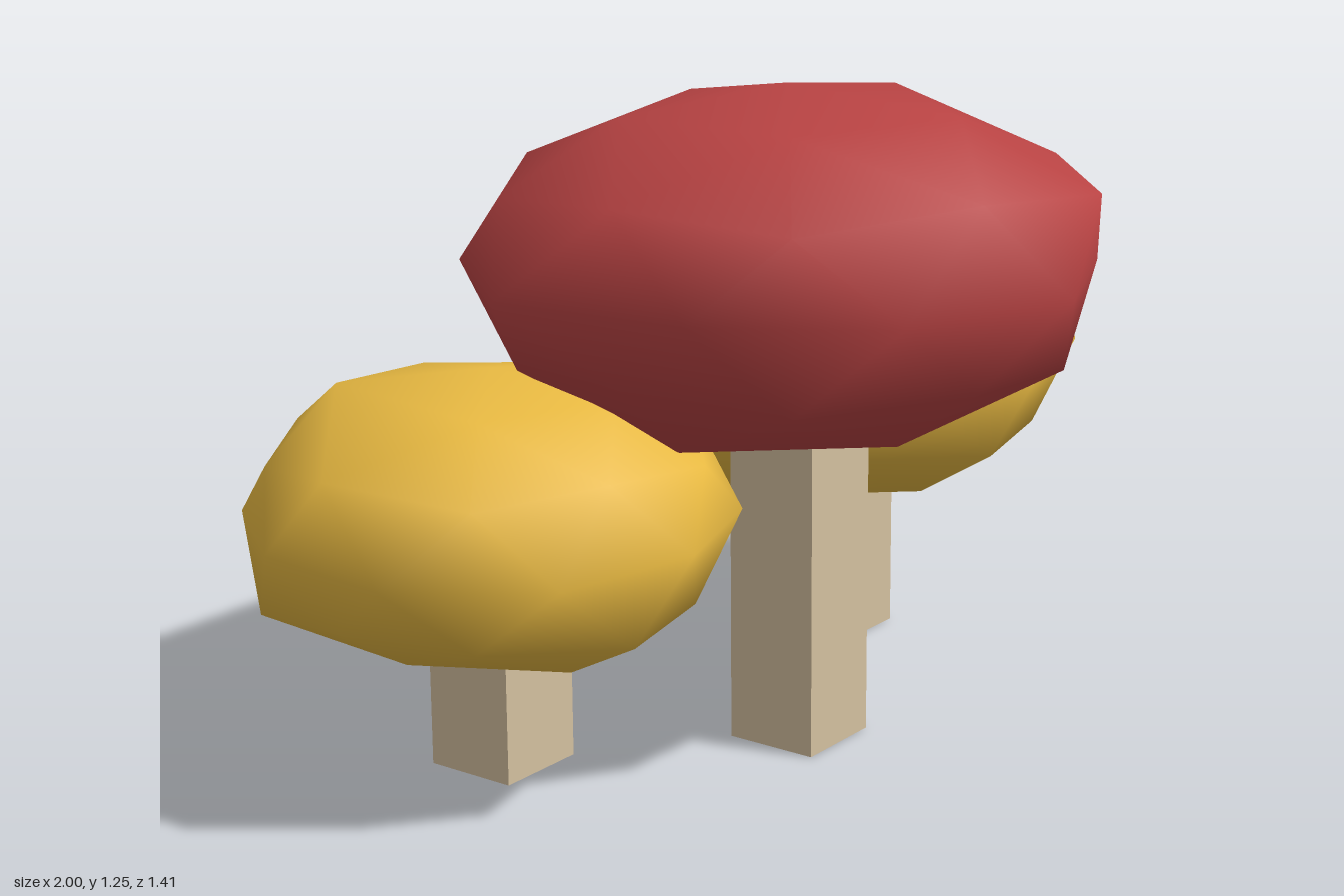
import * as THREE from 'three';
import { mergeVertices } from 'three/addons/utils/BufferGeometryUtils.js';

const material = (name, color) => {
  const m = new THREE.MeshStandardMaterial({ color });
  m.name = name;
  return m;
};

// Unit vector from azimuth (0 = +x, 90 = back) and latitude in degrees
function direction(azimuth, latitude) {
  const a = THREE.MathUtils.degToRad(azimuth), l = THREE.MathUtils.degToRad(latitude);
  return new THREE.Vector3(Math.cos(a) * Math.cos(l), Math.sin(l), -Math.sin(a) * Math.cos(l));
}

// Flattened smooth icosphere. lean shifts the +x half forward;
// each bump [azimuth, latitude, factor] pushes one corner in or out.
function capGeometry(radius, height, lean, bumps) {
  const ico = new THREE.IcosahedronGeometry(1, 1);
  ico.deleteAttribute('uv');
  ico.deleteAttribute('normal');
  ico.rotateZ(-Math.atan(2 / (1 + Math.sqrt(5)))); // one corner straight up
  const geo = mergeVertices(ico, 1e-3);
  const pos = geo.attributes.position;
  const v = new THREE.Vector3();
  for (let i = 0; i < pos.count; i++) {
    v.fromBufferAttribute(pos, i);
    const bump = bumps.find(([az, lat]) => direction(az, lat).dot(v) > 0.985);
    if (bump) v.multiplyScalar(bump[2]);
    v.z += lean * Math.max(v.x, 0);
    pos.setXYZ(i, v.x * radius, v.y * height, v.z * radius);
  }
  geo.computeVertexNormals();
  return geo;
}

export function createModel() {
  const group = new THREE.Group();
  const red = material('red', 0xb84343);
  const yellow = material('yellow', 0xe9ba42);
  const wood = material('stem beige', 0xd5c1a0);

  function addMushroom(name, capMaterial, geometry, x, y, z, stemZ) {
    const cap = new THREE.Mesh(geometry, capMaterial);
    cap.name = name + ' cap';
    cap.position.set(x, y, z);

    // Square stem ending inside the cap
    const h = y - 0.08;
    const stem = new THREE.Mesh(new THREE.BoxGeometry(0.185, h, 0.185), wood);
    stem.name = name + ' stem';
    stem.position.set(x, h / 2, stemZ);
    group.add(cap, stem);
  }

  const tallCap = capGeometry(0.603, 0.325, 0.05, [
    [-18, 0, 1.05], [-54, 0, 0.92], [54, 0, 0.97], [162, 0, 1.05], [-162, 0, 0.96],
    [0, 58.3, 1.04], [0, 26.6, 1.06], [-72, 26.6, 1.06], [-108, 31.7, 1.07],
    [0, -31.7, 0.85], [180, -26.6, 0.94], [180, -58.3, 1.06], [-108, -58.3, 1.03], [0, -90, 1.05],
  ]);
  addMushroom('tall', red, tallCap, -0.097, 0.922, 0.1, 0.128);

  const leftCap = capGeometry(0.5, 0.272, 0.03, [
    [-18, 0, 1.14], [162, 0, 0.95], [0, 26.6, 1.1], [-72, 26.6, 1.08], [36, 31.7, 1.04], [72, 58.3, 1.12],
    [0, -31.7, 1.09], [-108, -26.6, 1.14], [-108, -58.3, 1.13],
    [180, -58.3, 1.16], [108, -58.3, 1.08], [36, -58.3, 1.06],
  ]);
  addMushroom('left', yellow, leftCap, 0.457, 0.625, -0.18, -0.18);

  const rightCap = capGeometry(0.46, 0.268, -0.03, [
    [-162, 0, 1.07], [-126, 0, 1.08], [180, 31.7, 1.11], [144, 58.3, 1.15],
    [108, -26.6, 1.13], [144, -31.7, 1.1], [-108, -26.6, 1.12], [36, -26.6, 1.15],
    [36, -58.3, 1.1], [-108, -58.3, 1.05], [0, -90, 1.03],
  ]);
  addMushroom('right', yellow, rightCap, -0.529, 0.485, -0.25, -0.243);

  return group;
}
